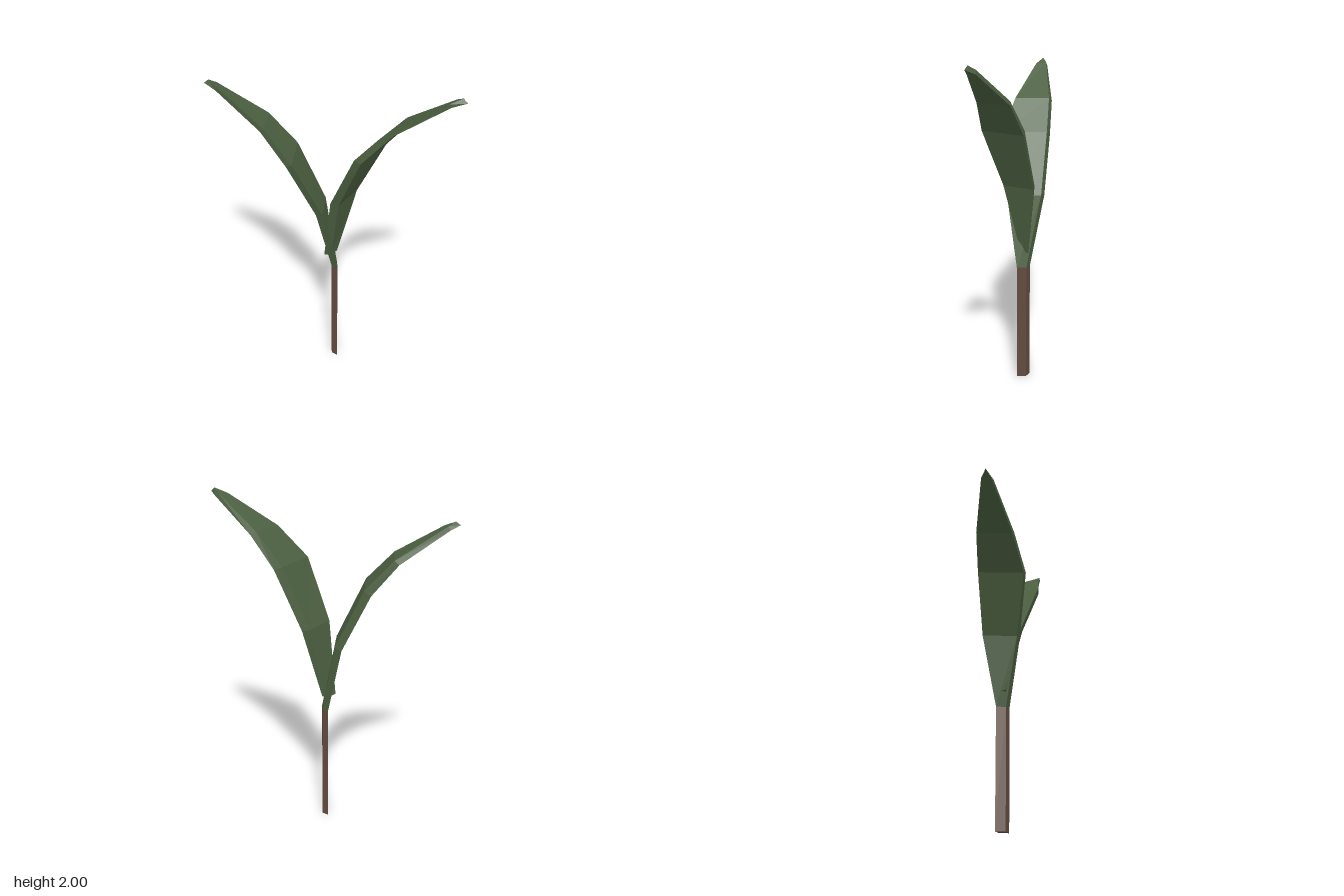
import * as THREE from 'three';

// Closed, flat-shaded loft through four-cornered rings (clockwise seen from above)
function loft(rings, material, name) {
  const pos = [];
  const quad = (a, b, c, d) => pos.push(...a, ...b, ...c, ...a, ...c, ...d);
  for (let r = 0; r < rings.length - 1; r++) {
    for (let i = 0; i < 4; i++) {
      const j = (i + 1) % 4;
      quad(rings[r][j], rings[r][i], rings[r + 1][i], rings[r + 1][j]);
    }
  }
  quad(...rings[0]);
  quad(...[...rings[rings.length - 1]].reverse());
  const geometry = new THREE.BufferGeometry();
  geometry.setAttribute('position', new THREE.Float32BufferAttribute(pos, 3));
  geometry.computeVertexNormals();
  const mesh = new THREE.Mesh(geometry, material);
  mesh.name = name;
  return mesh;
}

export function createModel() {
  const leafGreen = new THREE.MeshStandardMaterial({ color: 0x4c6041 });
  leafGreen.name = 'leafGreen';
  const stalkBrown = new THREE.MeshStandardMaterial({ color: 0x624a3e });
  stalkBrown.name = 'stalkBrown';

  // Skewed four-sided stalk section
  const section = [[0.03, -0.016], [-0.01, -0.026], [-0.03, -0.081], [0.01, -0.07]];
  const stalkRing = (y) => section.map(([x, z]) => [x, y, z]);

  // Blade rings: inner front, outer front, outer back, inner back
  const blade = [
    stalkRing(0.73),
    [[-0.035, 1.16, 0.065], [-0.08, 1.15, 0.058], [-0.13, 1.15, -0.14], [-0.085, 1.16, -0.132]],
    [[-0.19, 1.51, 0.14], [-0.225, 1.49, 0.135], [-0.295, 1.49, -0.128], [-0.25, 1.51, -0.12]],
    [[-0.36, 1.69, 0.11], [-0.385, 1.67, 0.105], [-0.44, 1.67, -0.1], [-0.41, 1.69, -0.09]],
    [[-0.645, 1.87, 0.058], [-0.66, 1.853, 0.055], [-0.69, 1.857, -0.003], [-0.675, 1.877, 0]],
    [[-0.71, 1.9, 0.03], [-0.735, 1.88, 0.037], [-0.735, 1.88, 0.035], [-0.71, 1.9, 0.028]],
  ];

  // The other leaf is mirrored, slightly larger and set higher
  const mirrored = blade.map((ring) =>
    ring.map(([x, y, z]) => [-x * 1.02 - 0.025, 0.82 + (y - 0.73) * 1.009, z]).reverse());

  const group = new THREE.Group();
  group.name = 'seedling';
  group.add(
    loft([stalkRing(0), stalkRing(0.73)], stalkBrown, 'stalk'),
    loft(blade, leafGreen, 'rightLeaf'),
    loft(mirrored, leafGreen, 'leftLeaf'),
  );
  return group;
}
